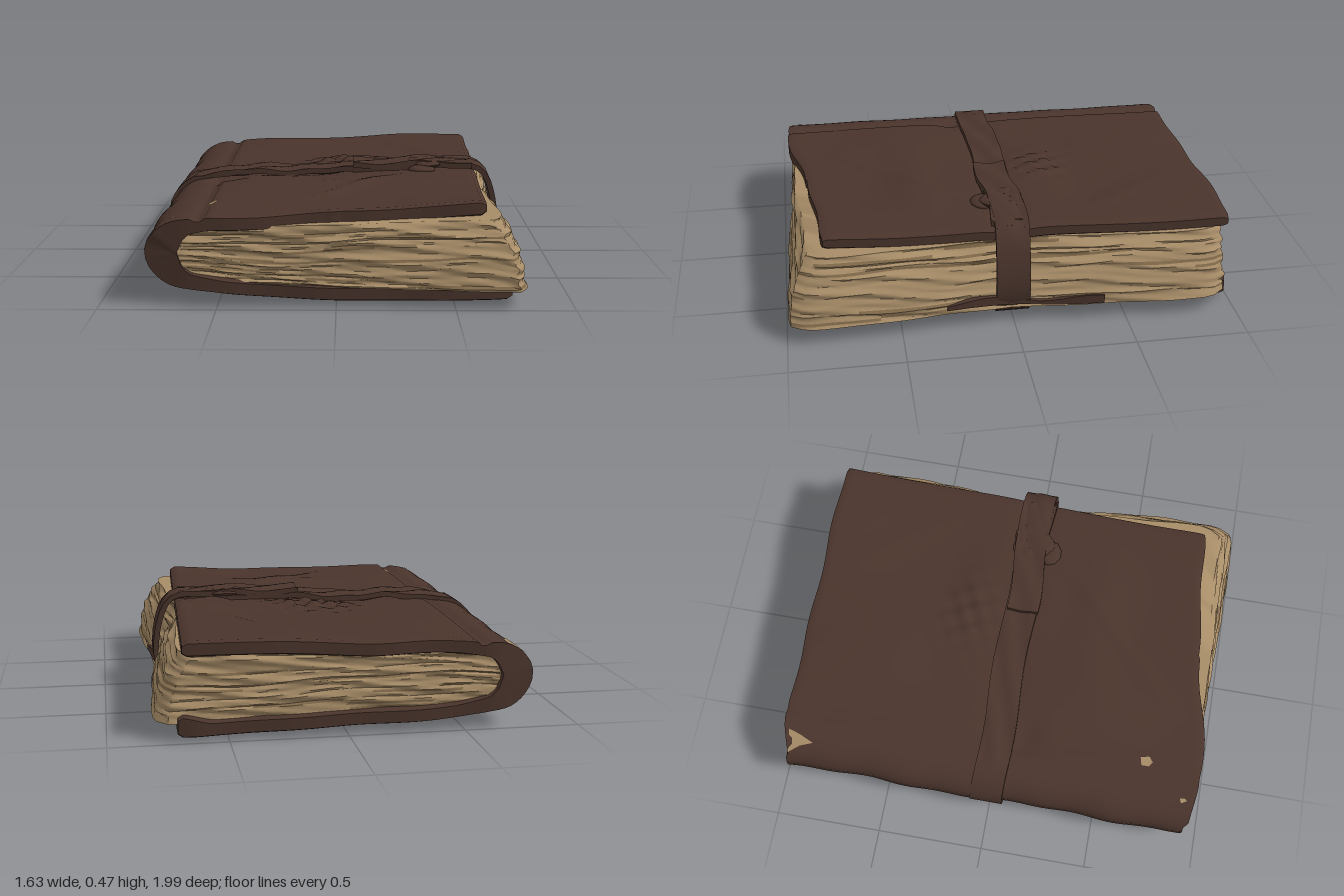
import * as THREE from 'three';
import { toCreasedNormals } from 'three/addons/utils/BufferGeometryUtils.js';

const leather = new THREE.MeshStandardMaterial({ color: 0x4a342c });
leather.name = 'leather';
const paper = new THREE.MeshStandardMaterial({ color: 0xa88d68 });
paper.name = 'paper';
const paperShade = new THREE.MeshStandardMaterial({ color: 0x80694a });
paperShade.name = 'agedPaper';

const { lerp, smoothstep, clamp } = THREE.MathUtils;
const hash = (a, b = 0) => {
  const s = Math.sin(a * 127.1 + b * 311.7 + 4.3) * 43758.5453;
  return s - Math.floor(s);
};
const bump = (x, z, cx, cz, rx, rz) => Math.exp(-(((x - cx) / rx) ** 2) - ((z - cz) / rz) ** 2);

// Skin a closed loop of n points over m stations, with capped ends.
// pick(i, j) chooses material 0 or 1 for each wall quad.
function loft(point, n, m, crease, pick = () => 0) {
  const pos = [], faces = [[], []];
  for (let j = 0; j < m; j++) for (let i = 0; i < n; i++) pos.push(...point(i, j));
  const id = (i, j) => j * n + (i % n);
  for (let j = 0; j < m - 1; j++) for (let i = 0; i < n; i++) {
    const a = id(i, j), b = id(i + 1, j), c = id(i, j + 1), d = id(i + 1, j + 1);
    faces[pick(i, j)].push(a, b, c, b, d, c);
  }
  for (let k = 0; k < n / 2 - 1; k++) {
    const q = [k, k + 1, n - 2 - k, n - 1 - k], t = q.map(v => v + (m - 1) * n);
    faces[0].push(q[0], q[2], q[1], q[0], q[3], q[2], t[0], t[1], t[2], t[0], t[2], t[3]);
  }
  const g = new THREE.BufferGeometry();
  g.setAttribute('position', new THREE.Float32BufferAttribute(pos, 3));
  g.setIndex([...faces[0], ...faces[1]]);
  const out = toCreasedNormals(g, crease);
  out.clearGroups();
  out.addGroup(0, faces[0].length, 0);
  out.addGroup(faces[0].length, faces[1].length, 1);
  return out;
}

// Thick sheet following an xy path and running along z; place() shapes each point.
function sheet(path, closed, samples, stations, half, place) {
  const curve = new THREE.CatmullRomCurve3(path.map(p => new THREE.Vector3(p[0], p[1], 0)), closed);
  const rows = [];
  for (let k = 0; k < samples; k++) {
    const s = k / (samples - 1), p = curve.getPointAt(s), t = curve.getTangentAt(s);
    rows.push({ s, p, nx: t.y, ny: -t.x });
  }
  return loft((i, j) => {
    const outer = i < samples, r = rows[outer ? i : 2 * samples - 1 - i];
    const h = half(r.p.x, r.s, outer) * (outer ? 1 : -1);
    return place(r.p.x + r.nx * h, r.p.y + r.ny * h, j / (stations - 1), r.s, outer);
  }, samples * 2, stations, 0.9);
}

// Wrapped cover: top board, rounded spine and bottom board in one sheet
function coverGeometry() {
  const path = [[0.655, 0.388], [0.3, 0.378], [-0.1, 0.365], [-0.55, 0.354], [-0.68, 0.316], [-0.745, 0.23],
    [-0.69, 0.136], [-0.5, 0.086], [0, 0.06], [0.4, 0.054], [0.7, 0.052]];
  const half = (x, s, outer) => {
    const spine = smoothstep(-x, 0.6, 0.75);
    const edge = Math.min(s, 1 - s) < 0.004 ? 0.6 : 1;
    return lerp(0.033, outer ? 0.058 : 0.078, spine) * edge;
  };
  return sheet(path, false, 140, 90, half, (x, y, v, s, outer) => {
    const top = s < 0.48, body = smoothstep(x, -0.68, -0.45);
    const front = top
      ? (x < 0 ? lerp(0.96, 0.875, smoothstep(x, -0.55, 0.1)) : lerp(0.873, 0.82, clamp(x / 0.65, 0, 1)))
      : 0.95;
    let z = lerp(-0.987, front, v) + 0.006 * Math.sin(x * 13 + (top ? 0 : 2));
    z *= 1 - 0.03 * smoothstep(Math.abs(x), 0.6, 0.8);
    if (top) {
      // sagging board with soft dents, a hinge crease and a nipped waist under the strap
      y += body * (0.006 * Math.sin(z * 6 + x * 3) + 0.004 * Math.sin(x * 9 - z * 5));
      y += 0.02 * bump(x, z, 0.1, -0.22, 0.25, 0.1) + 0.02 * bump(x, z, 0.1, 0.37, 0.35, 0.12);
      y -= body * 0.012 * bump(x, z, x, 0, 1, 0.09);
      if (outer) {
        y -= 0.02 * bump(x, z, -0.575, z, 0.02, 1);
        y -= 0.022 * bump(x, z, -0.52, 0.12, 0.08, 0.07);
        // puckered folds beside the strap, and long diagonal creases
        y += 0.02 * bump(x, z, 0.03, -0.23, 0.15, 0.12) * Math.sin(x * 48 + z * 22) * Math.cos(z * 46 - x * 14);
        y += 0.012 * bump(x + z, z, 0.52, 0.45, 0.05, 0.2) + 0.01 * bump(x - z * 0.6, z, 0.72, -0.55, 0.06, 0.2);
      }
      if (x > 0) x *= (0.665 - 0.03 * z) / 0.66;
    } else {
      // bottom board is torn back between its two outer corners
      const back = smoothstep(-z, 0.76, 0.86), near = smoothstep(z, 0.82, 0.9);
      if (x > 0) x *= (0.62 + 0.09 * back + 0.12 * near) / 0.7;
      if (!outer) y += 0.03 * Math.max(back, near) * smoothstep(x, 0.55, 0.7);
      y += body * 0.005 * Math.sin(z * 5 + x * 4);
    }
    const spine = 1 - smoothstep(x, -0.8, -0.6);
    x += spine * (0.007 * Math.sin(z * 7) + 0.004 * Math.sin(z * 19));
    if (v === 0 || v === 1) y += (outer === top ? -1 : 1) * 0.008 * body;
    return [x, y, z];
  });
}

// Outline of the page block at height fraction v
const foreX = (z, v) => lerp(0.785, 0.68, v * v) + 0.055 * Math.abs(Math.sin(z * 2)) - 0.042
  - 0.05 * smoothstep(-z, 0.88, 0.97) - 0.04 * smoothstep(z, 0.86, 0.97);
const pageY = (x, z, v) => {
  const k = clamp((x + 0.6) / 1.3, 0, 1);
  return lerp(lerp(0.1, 0.072, k), lerp(0.335, 0.362, k), v)
    + 0.013 * Math.sin(z * 5 + x * 4 + v * 2) * Math.sin(v * Math.PI)
    + 0.005 * Math.sin(z * 13 - x * 11 + v * 5) * Math.sin(v * Math.PI);
};

function pagesGeometry() {
  const side = 40, layers = 30;
  return loft((i, j) => {
    const v = j / (layers - 1), e = Math.floor(i / side), t = (i % side) / side;
    const left = -0.69 + 0.16 * Math.abs(2 * v - 1) ** 2.5;
    const ragged = (hash(j, 7 + e) - 0.5) * 0.014 + 0.005 * Math.sin(t * 15 + j * 0.9) + 0.003 * Math.sin(t * 31 + j * 1.7);
    const u = [0, t, 1, 1 - t][e], w = [t, 1, 1 - t, 0][e];
    let x = lerp(left, foreX(lerp(-0.955, 0.94, w), v), u);
    const front = 0.93 + 0.05 * smoothstep(x, -0.5, 0.5) - 0.085 * v * v * smoothstep(x, -0.3, 0.6);
    let z = lerp(-0.955, front, w);
    if (e === 1) z += ragged;
    if (e === 2) x += ragged;
    if (e === 3) z -= ragged;
    return [x, pageY(x, z, v), z];
  }, side * 4, layers, 0.95, (i, j) => (hash(j, Math.floor((i + hash(j) * 11) / 11)) < 0.13 ? 1 : 0));
}

export function createModel() {
  const book = new THREE.Group();
  book.name = 'leatherJournal';
  const add = (name, geometry, material, parent = book) => {
    const mesh = new THREE.Mesh(geometry, material);
    mesh.name = name;
    parent.add(mesh);
    return mesh;
  };
  const hide = [leather, leather];

  const cover = add('cover', coverGeometry(), hide);
  add('pages', pagesGeometry(), [paper, paperShade]);

  // Strap around the whole book
  const strapPath = [[0.675, 0.425], [0.3, 0.422], [-0.1, 0.406], [-0.55, 0.394], [-0.71, 0.36], [-0.803, 0.23],
    [-0.72, 0.084], [-0.5, 0.042], [0, 0.018], [0.5, 0.014], [0.69, 0.03], [0.75, 0.12], [0.732, 0.33]];
  add('strap', sheet(strapPath, true, 90, 9, () => 0.013, (x, y, v) => [
    x, y + (y > 0.385 ? 0.007 * Math.sin(v * 8 + x * 14) + 0.004 * Math.sin(x * 31) : 0),
    lerp(-0.075, 0.075, v) + 0.008 * Math.sin(x * 9)]), hide);

  // Loose end of the strap lying on top
  add('strapEnd', sheet([[0.64, 0.434], [0.45, 0.446], [0.25, 0.438], [0.07, 0.438]], false, 40, 9, () => 0.013,
    (x, y, v) => [x, y + 0.006 * Math.sin(v * 7 + x * 20), lerp(-0.07, 0.08, v) + 0.01 * Math.sin(x * 11)]), hide);

  // Knot: a crumpled coil with a short tail
  const knot = new THREE.Group();
  knot.name = 'knot';
  knot.position.set(0.43, 0.442, 0);
  book.add(knot);
  const coilGeometry = new THREE.TorusGeometry(0.062, 0.036, 10, 24);
  const p = coilGeometry.attributes.position;
  for (let k = 0; k < p.count; k++) {
    const a = Math.atan2(p.getY(k), p.getX(k)), f = 1 + 0.09 * Math.sin(a * 3) + 0.05 * Math.sin(a * 7);
    p.setXYZ(k, p.getX(k) * f, p.getY(k) * f, p.getZ(k) * (1 + 0.25 * Math.sin(a * 5)));
  }
  coilGeometry.computeVertexNormals();
  const coil = add('knotCoil', coilGeometry, leather, knot);
  coil.rotation.x = -Math.PI / 2;
  coil.scale.z = 0.45;
  const core = add('knotCore', new THREE.SphereGeometry(0.06, 12, 8), leather, knot);
  core.scale.set(1, 0.22, 1);
  const tail = add('knotTail', new THREE.SphereGeometry(0.06, 10, 8), leather, knot);
  tail.position.set(-0.03, -0.02, 0.09);
  tail.scale.set(1.1, 0.35, 0.95);

  // Scrap of leather folded up against the fore edge
  add('foreEdgeScrap', loft((i, j) => {
    const z = lerp(-0.4, 0.3, j / 24), high = i === 1 || i === 2;
    const lift = 0.03 + 0.012 * Math.sin(z * 14);
    return [foreX(z, 0.1) + (i < 2 ? 0.012 : -0.02), 0.088 + (high ? lift : 0) + 0.01 * Math.sin(z * 6), z];
  }, 4, 25, 0.6), hide);

  // Worn spots where the leather has rubbed through, draped on the cover
  const ray = new THREE.Raycaster();
  const down = new THREE.Vector3(0, -1, 0);
  const topAt = (x, z) => {
    ray.set(new THREE.Vector3(x, 2, z), down);
    const hit = ray.intersectObject(cover)[0];
    return hit ? hit.point.y : 0.36;
  };
  const spots = [
    [[-0.77, -0.955], [-0.67, -0.96], [-0.69, -0.9], [-0.715, -0.84], [-0.735, -0.9]],
    [[-0.56, 0.68], [-0.525, 0.67], [-0.515, 0.71], [-0.54, 0.73], [-0.56, 0.715]],
    [[-0.705, 0.885], [-0.68, 0.875], [-0.675, 0.9], [-0.69, 0.91]],
  ];
  for (const spot of spots) {
    const g = new THREE.ShapeGeometry(new THREE.Shape(spot.map(([x, z]) => new THREE.Vector2(x, -z))));
    g.rotateX(-Math.PI / 2);
    const q = g.attributes.position;
    for (let k = 0; k < q.count; k++) q.setY(k, topAt(q.getX(k), q.getZ(k)) + 0.007);
    g.computeVertexNormals();
    add('wornSpot', g, paper);
  }
  return book;
}
